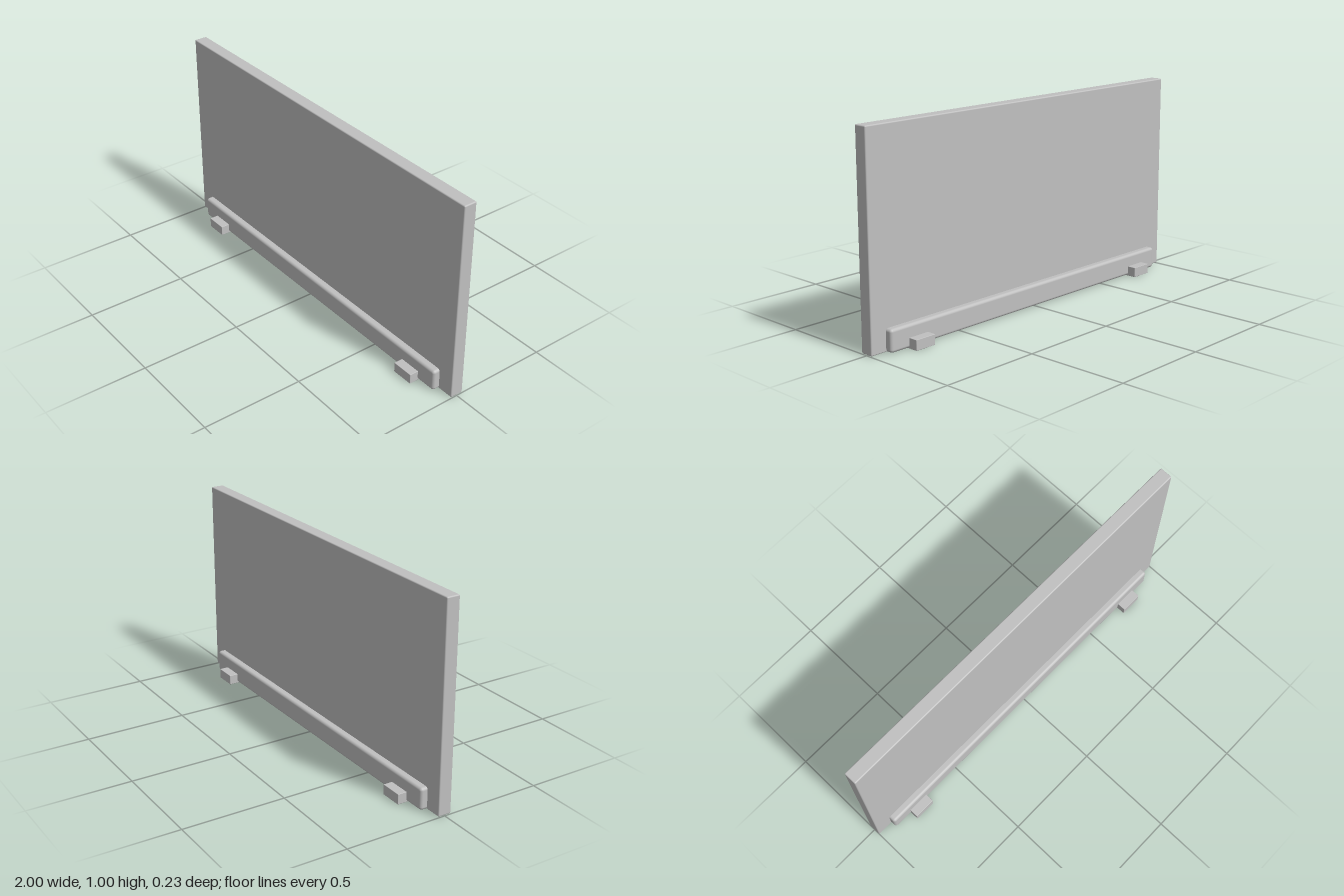
import * as THREE from 'three';
import { RoundedBoxGeometry } from 'three/addons/geometries/RoundedBoxGeometry.js';

export function createModel() {
  const model = new THREE.Group();
  model.name = 'deskPartition';
  const grey = new THREE.MeshStandardMaterial({ color: 0xc0c0c0 });
  grey.name = 'light grey';

  // Adds a rounded block spanning bottom..top, centred on z = 0
  function addBlock(name, width, bottom, top, depth, radius, x = 0) {
    const geometry = new RoundedBoxGeometry(width, top - bottom, depth, 4, radius);
    const mesh = new THREE.Mesh(geometry, grey);
    mesh.name = name;
    mesh.position.set(x, (bottom + top) / 2, 0);
    model.add(mesh);
  }

  // Upright panel
  addBlock('panel', 2, 0.003, 1, 0.066, 0.006);

  // Rail clamped along the bottom on both faces
  addBlock('baseRail', 1.836, 0.003, 0.11, 0.136, 0.014);

  // Cross feet near each end
  for (const side of [-1, 1]) {
    addBlock(side > 0 ? 'leftFoot' : 'rightFoot', 0.11, 0, 0.05, 0.226, 0.002, side * 0.76);
  }

  return model;
}
